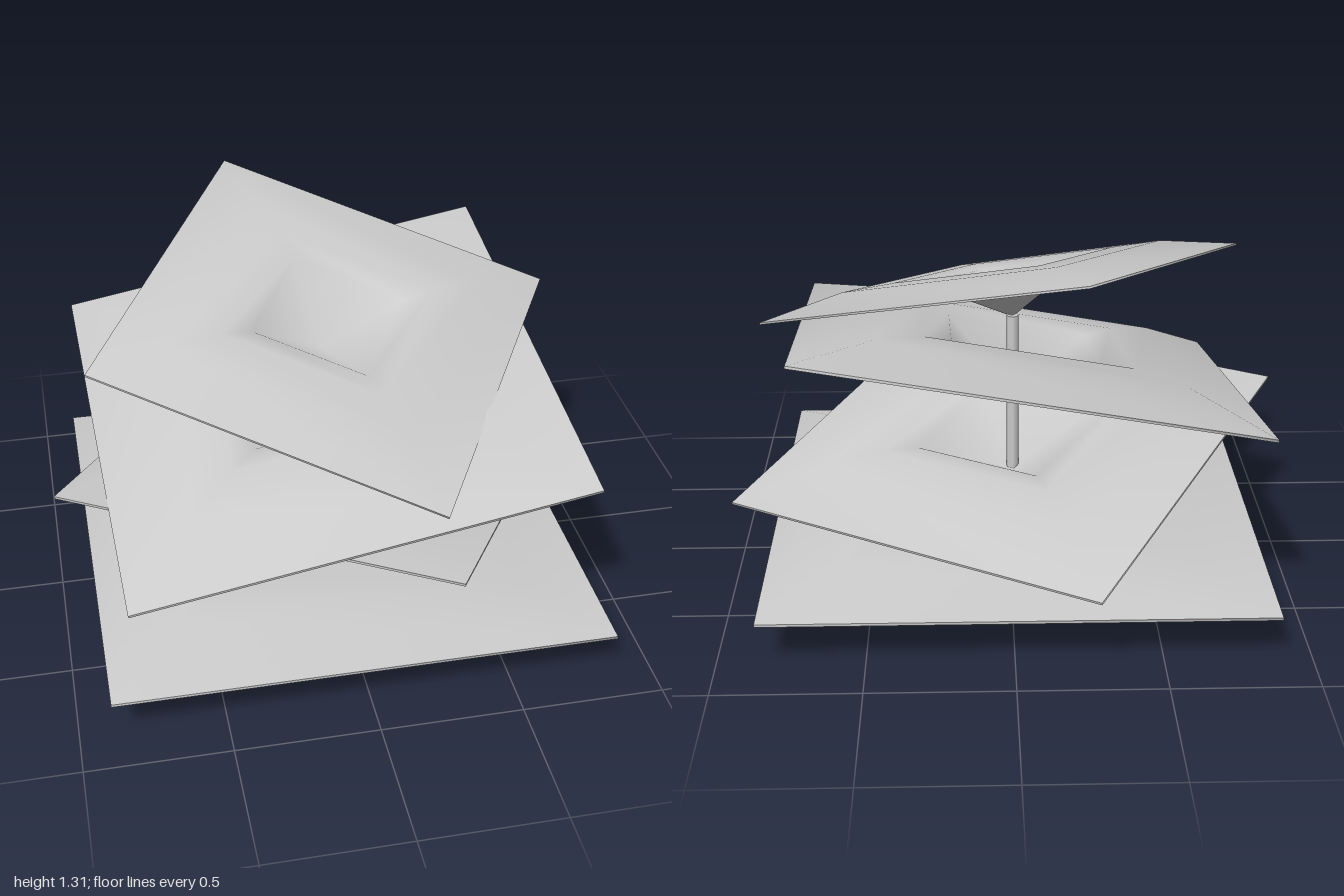
import * as THREE from 'three';
import { mergeGeometries, mergeVertices } from 'three/addons/utils/BufferGeometryUtils.js';

const material = new THREE.MeshStandardMaterial({ color: 0xcccccc });
const THICK = 0.01;

// Cross-section of a tray: [half width, height above its lowest point]
const PROFILE = [[0, 0], [0.29, 0.222], [0.4, 0.248], [0.583, 0.243], [0.874, 0.165]];

// Four-sided lathe, turned so that the sides face x and z, with welded smooth normals
function squareLathe(points) {
  const pts = points.map(([r, y]) => new THREE.Vector2(r * Math.SQRT2, y));
  const lathe = new THREE.LatheGeometry(pts, 4, Math.PI / 4);
  lathe.deleteAttribute('normal');
  lathe.deleteAttribute('uv');
  const welded = mergeVertices(lathe, 1e-4);
  welded.computeVertexNormals();
  return welded;
}

// Thin square tray: underside, sharp rim and upper side
function trayGeometry() {
  const upper = PROFILE.map(([r, y]) => [r, y + THICK]);
  const rim = [PROFILE[PROFILE.length - 1], upper[upper.length - 1]];
  return mergeGeometries([squareLathe(PROFILE), squareLathe(rim), squareLathe(upper.reverse())]);
}

// Height of the lowest point, scale, and directions of the tray's own x and z edges
const TRAYS = [
  { name: 'baseTray', y: 0, scale: 1, x: [1, 0, 0], z: [0, 0, 1] },
  { name: 'lowerTray', y: 0.306, scale: 0.84, x: [1.27, 0, 0.74], z: [-0.72, 0.255, 1.255] },
  { name: 'middleTray', y: 0.613, scale: 0.917, x: [1.58, 0.275, 0], z: [0.05, -0.277, 1.58] },
  { name: 'topTray', y: 0.919, scale: 0.73, x: [1.1, -0.325, 0.57], z: [-0.63, -0.22, 1.09] },
];

export function createModel() {
  const model = new THREE.Group();
  const axis = new THREE.Group();
  axis.name = 'trayStack';
  axis.position.set(-0.0135, 0, 0.018);
  model.add(axis);

  // Tilted and turned trays, each resting on the post by its lowest point
  const geometry = trayGeometry();
  for (const t of TRAYS) {
    const x = new THREE.Vector3(...t.x).normalize();
    const y = new THREE.Vector3(...t.z).cross(x).normalize();
    const z = new THREE.Vector3().crossVectors(x, y);
    const tray = new THREE.Mesh(geometry, material);
    tray.name = t.name;
    tray.quaternion.setFromRotationMatrix(new THREE.Matrix4().makeBasis(x, y, z));
    tray.scale.setScalar(t.scale);
    tray.position.y = t.y;
    axis.add(tray);
  }

  // Central post through all trays
  const bottom = 0.02, top = 0.925;
  const post = new THREE.Mesh(new THREE.CylinderGeometry(0.022, 0.022, top - bottom, 8), material);
  post.name = 'post';
  post.position.y = (top + bottom) / 2;
  axis.add(post);

  return model;
}
